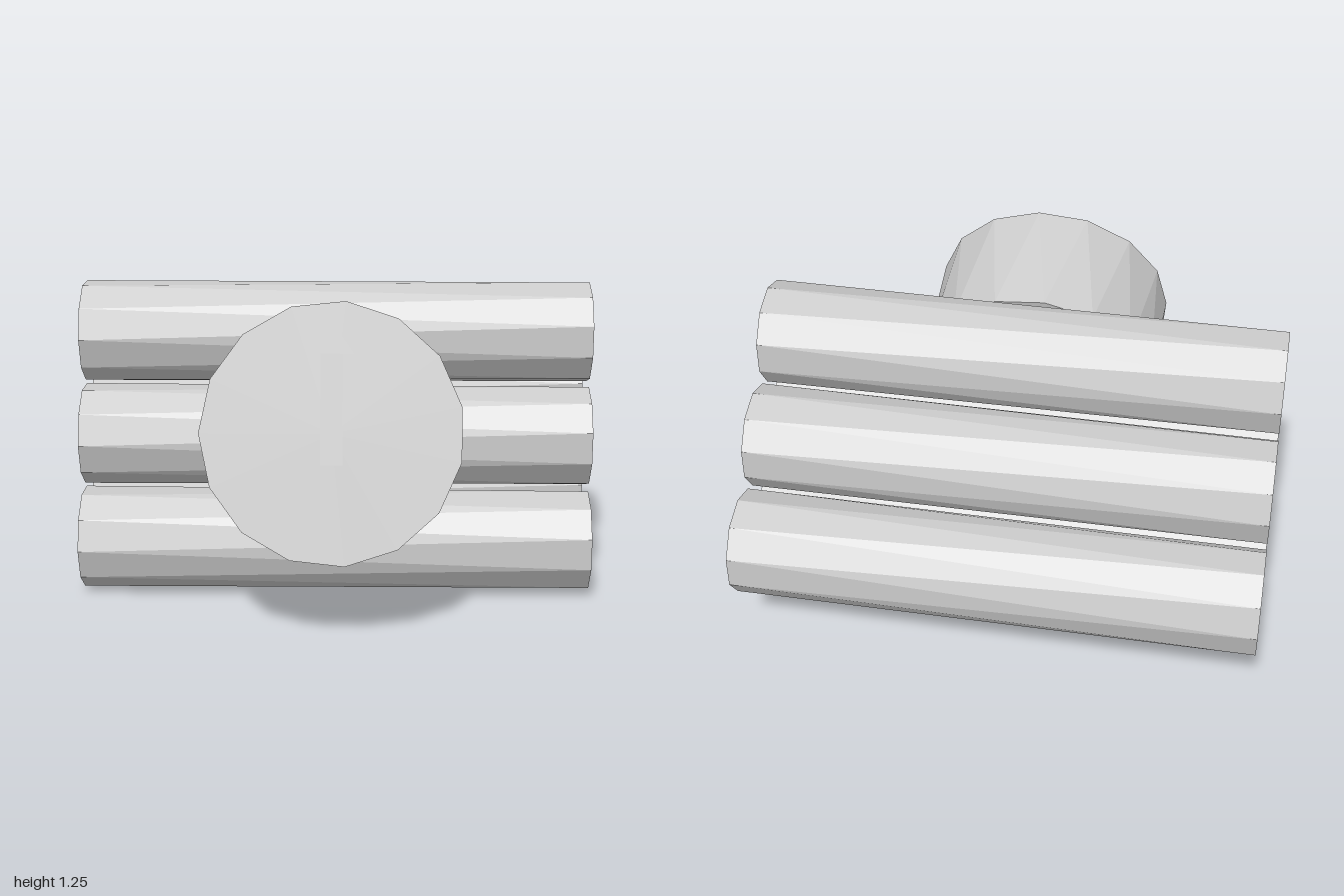
import * as THREE from 'three';

const material = new THREE.MeshStandardMaterial({ color: 0xcccccc, flatShading: true });

// Faceted cylinder whose top ring is turned half a step; cap centres sink by `dish`.
function twistedCylinder(radius, length, sides, thetaStart, dish) {
  const geo = new THREE.CylinderGeometry(radius, radius, length, sides, 1, false, thetaStart);
  const pos = geo.attributes.position;
  const axis = new THREE.Vector3(0, 1, 0);
  const v = new THREE.Vector3();
  for (let i = 0; i < pos.count; i++) {
    v.fromBufferAttribute(pos, i);
    if (Math.hypot(v.x, v.z) < 1e-6) v.y -= Math.sign(v.y) * dish;
    else if (v.y > 0) v.applyAxisAngle(axis, -Math.PI / sides);
    pos.setXYZ(i, v.x, v.y, v.z);
  }
  const flat = geo.toNonIndexed();
  flat.computeVertexNormals();
  return flat;
}

export function createModel() {
  const model = new THREE.Group();
  model.name = 'stickBundle';

  // Stacked sticks: a leaning triangle of three, two and one
  const stickGeo = twistedCylinder(0.2, 2, 10, 0, 0.04).rotateZ(-Math.PI / 2);
  for (let column = 0; column < 3; column++) {
    for (let row = 0; row < 3 - column; row++) {
      const stick = new THREE.Mesh(stickGeo, material);
      stick.name = `stick${column + 1}_${row + 1}`;
      stick.position.set(0, 0.2 + row * 0.4 + column * 0.104, 0.135 - row * 0.1 - column * 0.388);
      model.add(stick);
    }
  }

  // Round timer leaning back against the sticks
  const timer = new THREE.Group();
  timer.name = 'timer';
  timer.position.set(0, 0.727, 0.487);
  timer.rotation.x = -0.264;
  model.add(timer);

  const drum = new THREE.Mesh(
    twistedCylinder(0.478, 0.48, 15, Math.PI / 2, 0).rotateX(Math.PI / 2), material);
  drum.name = 'timerDrum';
  timer.add(drum);

  // Pointer arrow on the dial
  const outline = [[-0.04, -0.113], [0.04, -0.113], [0.04, 0.287], [0.08, 0.287],
    [0, 0.404], [-0.08, 0.287], [-0.04, 0.287], [-0.04, -0.113]];
  const shape = new THREE.Shape(outline.map(([x, y]) => new THREE.Vector2(x, y)));
  const arrow = new THREE.Mesh(new THREE.ShapeGeometry(shape), material);
  arrow.name = 'dialArrow';
  arrow.position.z = 0.243;
  timer.add(arrow);

  return model;
}
